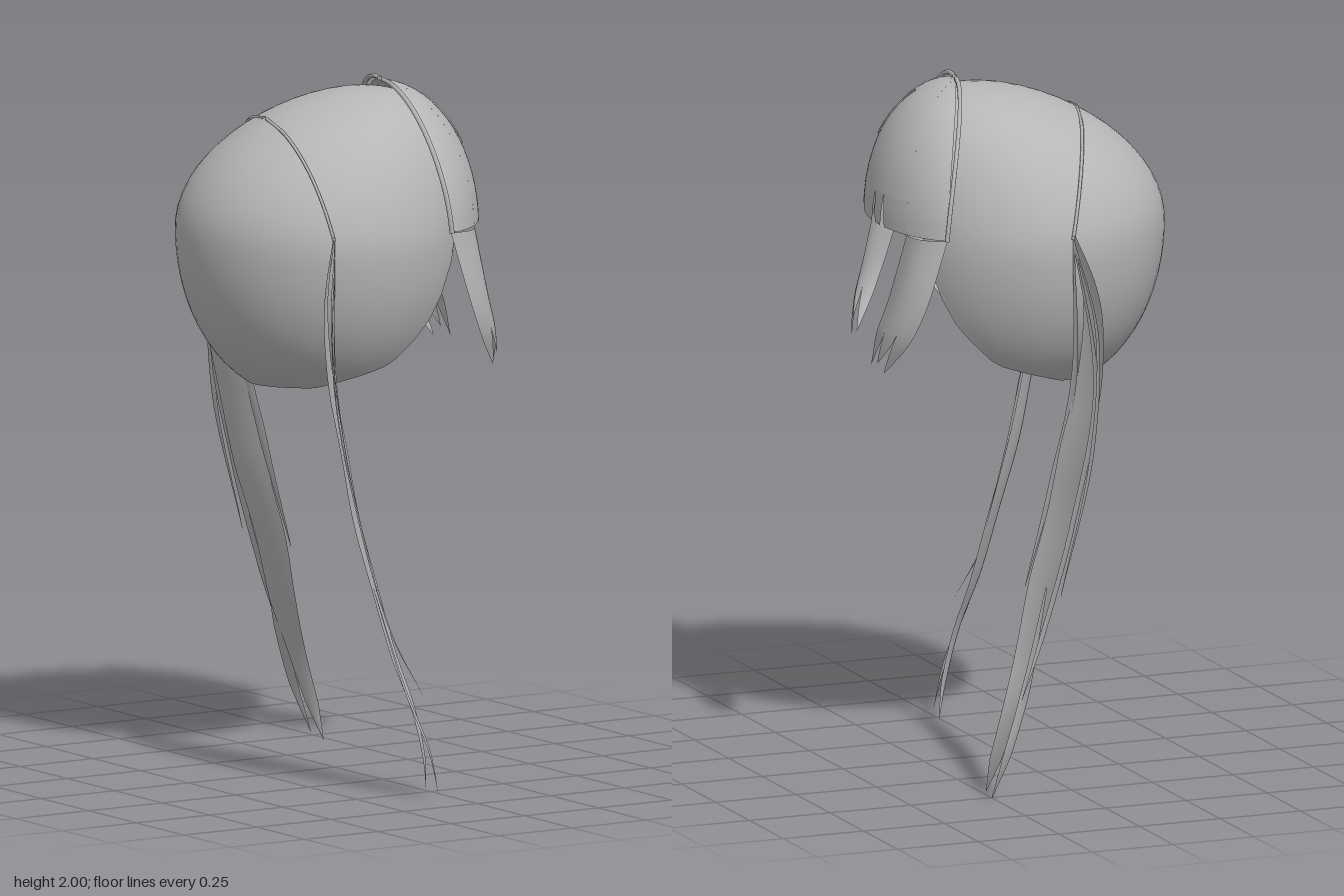
import * as THREE from 'three';

const { lerp, degToRad } = THREE.MathUtils;
const hair = new THREE.MeshStandardMaterial({ color: 0xb6b6b6, side: THREE.DoubleSide });
hair.name = 'hair';

// Surface from a function of u and v, both 0..1, returning [x, y, z]
function sheet(name, fn, nu, nv) {
  const pos = [], index = [];
  for (let j = 0; j <= nv; j++) {
    for (let i = 0; i <= nu; i++) {
      pos.push(...fn(i / nu, j / nv));
      if (i < nu && j < nv) {
        const a = j * (nu + 1) + i, b = a + nu + 1;
        index.push(a, a + 1, b, a + 1, b + 1, b);
      }
    }
  }
  const geo = new THREE.BufferGeometry();
  geo.setAttribute('position', new THREE.Float32BufferAttribute(pos, 3));
  geo.setIndex(index);
  geo.computeVertexNormals();
  const mesh = new THREE.Mesh(geo, hair);
  mesh.name = name;
  return mesh;
}

// Thin raised hair line along a function of t
function hairLine(name, fn, radius) {
  const pts = [];
  for (let i = 0; i <= 10; i++) pts.push(new THREE.Vector3(...fn(i / 10)));
  const mesh = new THREE.Mesh(new THREE.TubeGeometry(new THREE.CatmullRomCurve3(pts), 30, radius, 6), hair);
  mesh.name = name;
  return mesh;
}

// Ribbon along [x, y, z, halfWidth] stations, outer edge swept back; side mirrors it
function ribbon(name, stations, side, nu) {
  const path = new THREE.CatmullRomCurve3(stations.map((s) => new THREE.Vector3(s[0], s[1], s[2])));
  const last = stations.length - 1;
  return sheet(name, (u, v) => {
    const p = path.getPoint(v);
    const k = Math.min(Math.floor(v * last), last - 1);
    const w = lerp(stations[k][3], stations[k + 1][3], v * last - k);
    const s = u * 2 - 1;
    return [p.x - w * (0.45 * s + 0.12 * (1 - s * s)), p.y, side * (p.z + s * w)];
  }, nu, 40);
}

// The sides slope in a little between the top and the widest level
const slope = (t) => 1 - 0.05 * Math.max(Math.sin(2 * t), 0);

// Point on the crown: a is the angle from the face, t the angle from the top
function crown(a, t, lift = 0) {
  const c = Math.cos(t);
  const top = Math.max(c, 0);
  const front = 1 - 0.07 * Math.max(Math.cos(a), 0);
  const r = 0.43 * Math.pow(Math.max(Math.sin(t), 0), c < 0 ? 0.85 : 1) * front + lift;
  return [-0.03 + 0.12 * top * top + r * Math.cos(a), 1.57 + (c > 0 ? 0.4 : 0.5) * c + lift * top, r * Math.sin(a) * slope(t)];
}

// Lower rim of the crown: [degrees from the face, angle from the top]
const rim = [[0, 1.1], [35, 1.2], [47, 1.81], [56, 2.09], [72, 2.375], [90, 2.47], [115, 2.6], [180, 2.65]];
function rimAngle(a) {
  const d = Math.min(a, 2 * Math.PI - a) * 180 / Math.PI;
  const k = Math.max(1, rim.findIndex((r) => r[0] >= d - 1e-6));
  const [p, q] = [rim[k - 1], rim[k]];
  return lerp(p[1], q[1], (d - p[0]) / (q[0] - p[0]));
}

// Point on the fringe, fanning from the parting: f in degrees, t from the top
function fringe(f, t, lift = 0) {
  const a = degToRad(f), s = Math.sin(t);
  return [0.14 + (0.26 + lift) * s * Math.cos(a), 1.6 + (0.385 + lift) * Math.cos(t), (0.41 + lift) * s * Math.sin(a) * slope(t)];
}

// Front and back edges of the lock beside the face
const curve = (pts) => new THREE.CatmullRomCurve3(pts.map((p) => new THREE.Vector3(...p)));
const lockFront = curve([[0.324, 1.6, 0.29], [0.372, 1.4, 0.25], [0.4, 1.3, 0.215], [0.41, 1.2, 0.165]]);
const lockBack = curve([[0.22, 1.6, 0.39], [0.28, 1.4, 0.385], [0.32, 1.3, 0.355], [0.37, 1.19, 0.28]]);
function lockPoint(u, v, side) {
  const p = lockFront.getPoint(v).lerp(lockBack.getPoint(v), u);
  const out = 0.02 * Math.sin(Math.PI * u);
  return [p.x + out, p.y, side * (p.z + out)];
}

// Pigtail stations
const tailMain = [
  [-0.14, 1.61, 0.415, 0.012], [-0.173, 1.5, 0.462, 0.034], [-0.187, 1.4, 0.482, 0.046], [-0.175, 1.2, 0.492, 0.06],
  [-0.133, 1.0, 0.484, 0.068], [-0.094, 0.8, 0.476, 0.066], [-0.038, 0.6, 0.473, 0.06], [0.011, 0.4, 0.505, 0.052],
  [0.06, 0.25, 0.53, 0.036], [0.1, 0.1, 0.51, 0.026], [0.12, 0.0, 0.465, 0.001]];
const tailStrands = [
  [[-0.05, 0.6, 0.5, 0.004], [0.02, 0.32, 0.57, 0.02], [0.08, 0.14, 0.615, 0.018], [0.12, 0.005, 0.58, 0.001]],
  [[-0.14, 1.6, 0.42, 0.004], [-0.19, 1.35, 0.54, 0.008], [-0.165, 1.0, 0.602, 0.009], [-0.075, 0.6, 0.615, 0.001]],
  [[-0.14, 1.6, 0.42, 0.004], [-0.14, 1.2, 0.43, 0.014], [-0.085, 0.9, 0.4, 0.016], [-0.005, 0.58, 0.385, 0.001]],
  [[-0.14, 1.6, 0.42, 0.004], [-0.185, 1.2, 0.55, 0.012], [-0.115, 0.8, 0.57, 0.012], [-0.025, 0.48, 0.59, 0.011], [0.045, 0.31, 0.665, 0.001]]];

export function createModel() {
  const wig = new THREE.Group();
  wig.name = 'wig';
  const head = new THREE.Group();
  head.name = 'hairStyle';
  head.rotation.y = -0.253;
  wig.add(head);

  // Crown shell, open at the face and neck
  head.add(sheet('crown', (u, v) => {
    const a = u * 2 * Math.PI;
    return crown(a, v * rimAngle(a));
  }, 72, 28));

  // Fringe and its cut teeth
  const cut = degToRad(76);
  head.add(sheet('fringe', (u, v) => fringe(lerp(-45, 45, u), v * cut), 30, 14));
  const edges = [-45, -24, -14, 10, 20, 45];
  for (let i = 0; i < edges.length - 1; i++) {
    const mid = (edges[i] + edges[i + 1]) / 2, half = (edges[i + 1] - edges[i]) / 2;
    head.add(sheet('fringeTooth', (u, v) => {
      // Only inner edges taper, so the outer ones meet the side locks
      const taper = (i === 0 && u < 0.5) || (i === edges.length - 2 && u > 0.5) ? 0 : 2 * v;
      return fringe(mid + (u * 2 - 1) * (half - taper), lerp(cut, Math.PI / 2, v));
    }, 8, 4));
  }
  head.add(hairLine('fringeStrand', (t) => fringe(13 + 6 * t, lerp(0.45, 1.0, t), 0.002), 0.0025));

  for (const side of [1, -1]) {
    // Parting from the top down to the pigtail
    head.add(hairLine('sideParting', (t) => {
      const th = lerp(0.637, 1.5, t), c = Math.cos(th);
      const x = lerp(-0.208, -0.139, t);
      const q = (x + 0.03 - 0.12 * c * c) / (0.43 * Math.sin(th));
      return crown(side * Math.acos(Math.max(-1, q)), th, 0.002);
    }, 0.005));

    // Lock beside the face: upper fan, lower sheet and three tips
    head.add(sheet('sideLockTop', (u, v) => fringe(side * lerp(45, lerp(80, 72, v), u), v * Math.PI / 2), 10, 18));
    head.add(sheet('sideLock', (u, v) => lockPoint(u, v * 0.62, side), 12, 10));
    for (let i = 0; i < 3; i++) {
      head.add(sheet('sideLockTip', (u, v) => {
        const mid = (i + 0.5) / 3;
        const uu = mid + (u - 0.5) / 3 * (1 - v * v * 0.98);
        return lockPoint(uu, lerp(0.62, i === 1 ? 0.93 : 1, v), side);
      }, 4, 8));
    }
    head.add(hairLine('sideLockEdge', (t) => {
      return fringe(side * lerp(88, 72, t), lerp(0.03, Math.PI / 2, t), 0.005 + 0.012 * Math.sin(Math.PI * t));
    }, 0.007));

    // Pigtail
    const tail = new THREE.Group();
    tail.name = side > 0 ? 'rightPigtail' : 'leftPigtail';
    tail.add(ribbon('pigtailMain', tailMain, side, 10));
    for (const s of tailStrands) tail.add(ribbon('pigtailStrand', s, side, 4));
    head.add(tail);
  }
  return wig;
}
